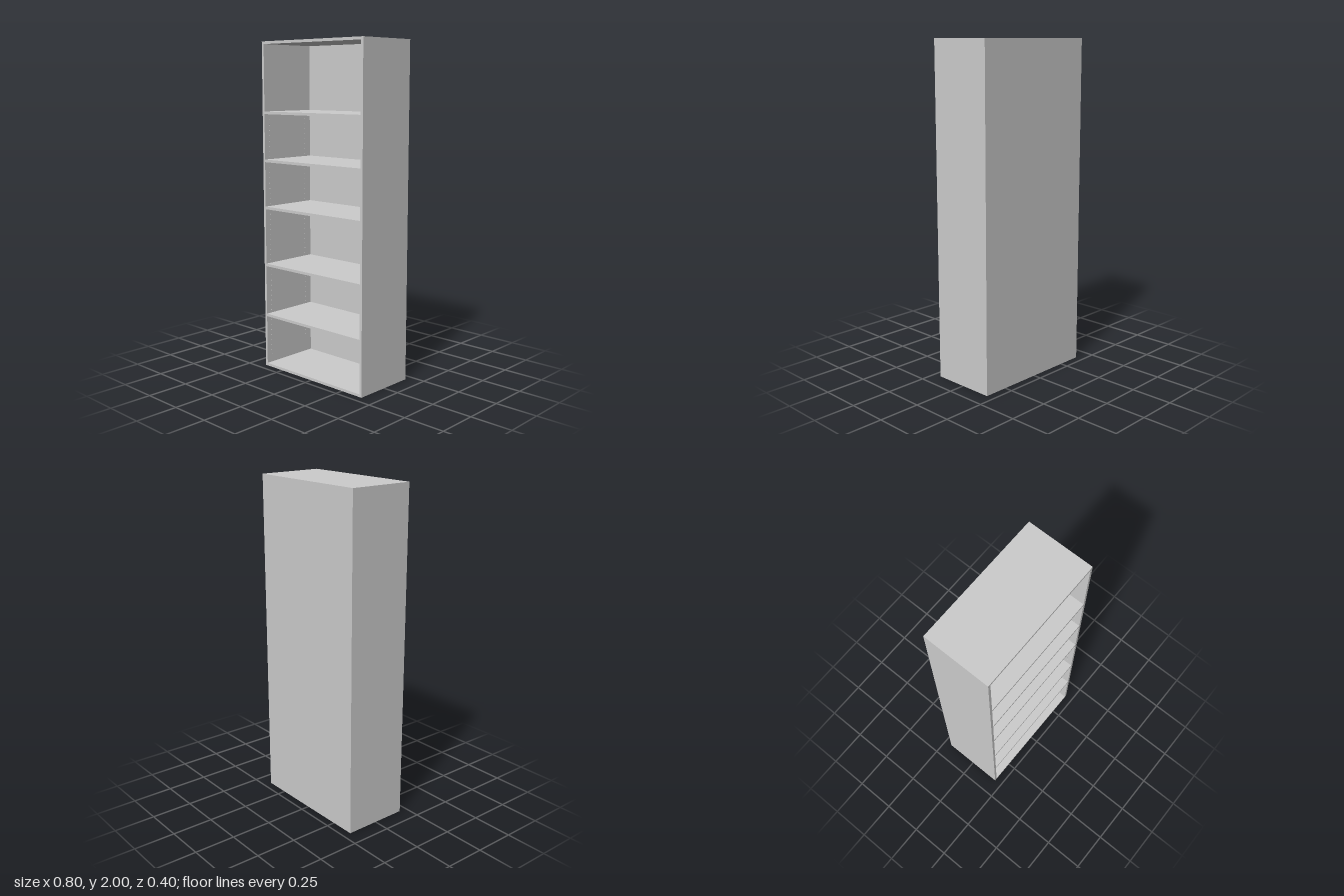
import * as THREE from 'three';

const W = 0.8, H = 2, D = 0.4, T = 0.016;
const material = new THREE.MeshStandardMaterial({ color: 0xcccccc });

function board(name, w, h, d, x, y, z) {
  const mesh = new THREE.Mesh(new THREE.BoxGeometry(w, h, d), material);
  mesh.name = name;
  mesh.position.set(x, y, z);
  return mesh;
}

// Inner layer of a side panel, drilled with two columns of shelf-pin holes
function drilledLayer(thickness) {
  const shape = new THREE.Shape();
  shape.moveTo(-D / 2, 0);
  shape.lineTo(D / 2, 0);
  shape.lineTo(D / 2, H);
  shape.lineTo(-D / 2, H);
  shape.closePath();
  for (const z of [0.163, -0.135]) {
    for (let i = 0; i < 47; i++) {
      const hole = new THREE.Path();
      hole.absarc(-z, 0.065 + i * 0.032, 0.0025, 0, Math.PI * 2, true);
      shape.holes.push(hole);
    }
  }
  const geometry = new THREE.ExtrudeGeometry(shape, { depth: thickness, bevelEnabled: false, curveSegments: 8 });
  return geometry.rotateY(Math.PI / 2);
}

export function createModel() {
  const group = new THREE.Group();
  group.name = 'bookcase';

  // Side panels: solid outer skin plus drilled inner layer
  const skin = 0.005, layer = T - skin;
  const drilled = drilledLayer(layer);
  for (const s of [-1, 1]) {
    const side = new THREE.Group();
    side.name = s > 0 ? 'leftSidePanel' : 'rightSidePanel';
    side.add(board('outerSkin', skin, H, D, s * (W - skin) / 2, H / 2, 0));
    const inner = new THREE.Mesh(drilled, material);
    inner.name = 'drilledLayer';
    inner.position.x = s > 0 ? W / 2 - T : -W / 2 + skin;
    side.add(inner);
    group.add(side);
  }

  // Top, bottom and back fitted between the sides
  const innerW = W - 2 * T;
  group.add(board('topPanel', innerW, T, D, 0, H - T / 2, 0));
  group.add(board('bottomPanel', innerW, T, D, 0, T / 2, 0));
  group.add(board('backPanel', innerW, H - 2 * T, T, 0, H / 2, -D / 2 + T / 2));

  // Shelves, flush with the front edge
  [0.328, 0.647, 1.003, 1.291, 1.58].forEach((y, i) => {
    group.add(board(`shelf${i + 1}`, innerW, T, D - T, 0, y, T / 2));
  });

  return group;
}
